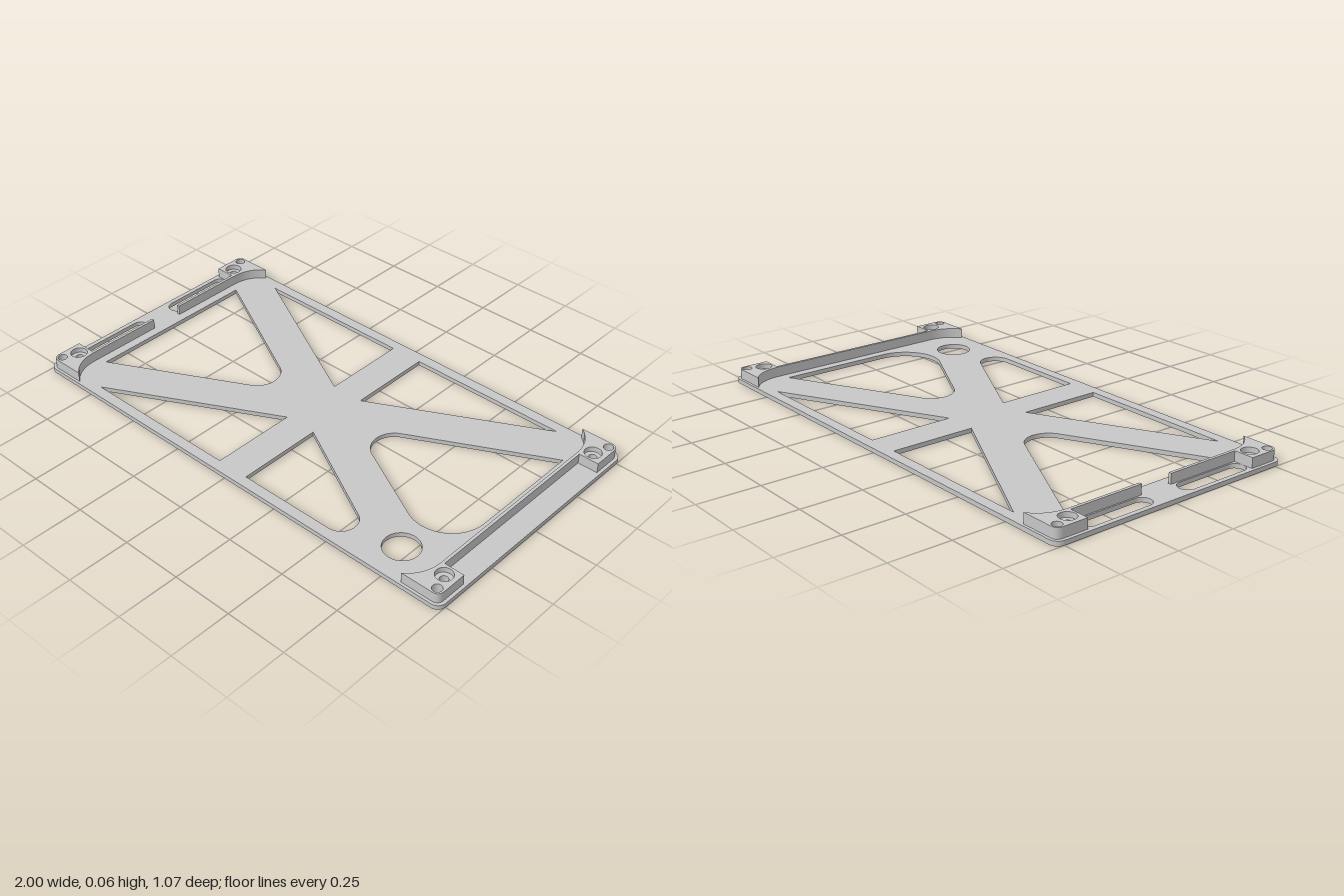
import * as THREE from 'three';

const PLATE = 0.018, TOP = 0.059, TILT = 1.07; // TILT: angle of the brace normals

// Extrude an outline drawn in (x, z) between two heights
function slab(shape, y0, y1) {
  const g = new THREE.ExtrudeGeometry(shape, { depth: y1 - y0, bevelEnabled: false, curveSegments: 24 });
  g.rotateX(Math.PI / 2);
  g.translate(0, y1, 0);
  return g;
}

const poly = pts => new THREE.Path(pts.map(p => new THREE.Vector2(...p)));
const circle = (x, z, r) => new THREE.Path().absarc(x, z, r, 0, Math.PI * 2, false);

export function createModel() {
  const model = new THREE.Group();
  const grey = new THREE.MeshStandardMaterial({ color: 0xc6c6c6, side: THREE.DoubleSide });
  grey.name = 'grey';
  const add = (name, geometry) => {
    const mesh = new THREE.Mesh(geometry, grey);
    mesh.name = name;
    model.add(mesh);
    return mesh;
  };
  const corners = [[1, 1], [1, -1], [-1, 1], [-1, -1]];

  // Base plate with rounded corners
  const plate = new THREE.Shape();
  const w = 1, d = 0.534, r = 0.035;
  plate.absarc(w - r, d - r, r, 0, Math.PI / 2, false);
  plate.absarc(-w + r, d - r, r, Math.PI / 2, Math.PI, false);
  plate.absarc(-w + r, -d + r, r, Math.PI, Math.PI * 1.5, false);
  plate.absarc(w - r, -d + r, r, Math.PI * 1.5, Math.PI * 2, false);

  // Triangular openings that leave the crossing braces
  for (const [sx, sz] of [[-1, -1], [1, -1], [-1, 1]]) {
    plate.holes.push(poly([[sx * 0.74, sz * 0.49], [sx * 0.068, sz * 0.49], [sx * 0.068, sz * 0.134]]));
  }
  const roundedFront = new THREE.Path();
  roundedFront.absarc(0.472, 0.425, 0.065, -TILT, Math.PI / 2, false);
  roundedFront.lineTo(0.068, 0.49);
  roundedFront.lineTo(0.068, 0.134);

  // End openings with rounded tips towards the middle
  const rightEnd = new THREE.Path();
  rightEnd.absarc(-0.36, 0, 0.093, -TILT, TILT, false);
  rightEnd.lineTo(-0.855, 0.365);
  rightEnd.lineTo(-0.855, -0.365);

  const leftEnd = new THREE.Path();
  leftEnd.absarc(0.36, 0, 0.093, Math.PI + TILT, Math.PI - TILT, true);
  leftEnd.absarc(0.7, 0.107, 0.155, Math.PI - TILT, 0, true);
  leftEnd.lineTo(0.855, -0.365);
  plate.holes.push(roundedFront, rightEnd, leftEnd, circle(0.72, 0.39, 0.07));

  // Long slots beside the split wall
  for (const s of [-1, 1]) {
    const slot = new THREE.Path();
    slot.absarc(-0.946, s * 0.23 + 0.125, 0.035, 0, Math.PI, false);
    slot.absarc(-0.946, s * 0.23 - 0.125, 0.035, Math.PI, Math.PI * 2, false);
    plate.holes.push(slot);
  }

  // Screw and pin holes
  for (const [sx, sz] of corners) {
    plate.holes.push(circle(sx * 0.937, sz * 0.432, 0.016), circle(sx * 0.96, sz * 0.497, 0.019));
  }
  add('basePlate', slab(plate, 0, PLATE));

  // Corner blocks with a hollow inner curve and stepped screw holes
  for (const [sx, sz] of corners) {
    const b = new THREE.Shape();
    b.moveTo(sx * 0.828, sz * 0.523);
    b.quadraticCurveTo(sx * 0.893, sz * 0.476, sx * 0.893, sz * 0.39);
    b.lineTo(sx * 0.987, sz * 0.39);
    b.lineTo(sx * 0.987, sz * 0.493);
    b.quadraticCurveTo(sx * 0.987, sz * 0.523, sx * 0.957, sz * 0.523);
    b.holes.push(circle(sx * 0.937, sz * 0.432, 0.033), circle(sx * 0.96, sz * 0.497, 0.019));
    add('cornerBlock', slab(b, PLATE, TOP));

    const seat = new THREE.Shape().absarc(0, 0, 0.033, 0, Math.PI * 2, false);
    seat.holes.push(circle(0, 0, 0.016));
    add('screwSeat', slab(seat, PLATE, 0.038)).position.set(sx * 0.937, 0, sz * 0.432);
  }

  // Thin retaining walls: one long on the left end, two short on the right end
  const wall = (x, z, length) =>
    add('retainingWall', new THREE.BoxGeometry(0.012, TOP - PLATE, length))
      .position.set(x, (TOP + PLATE) / 2, z);
  wall(0.899, 0, 0.78);
  for (const s of [-1, 1]) wall(-0.899, s * 0.23, 0.32);

  return model;
}
